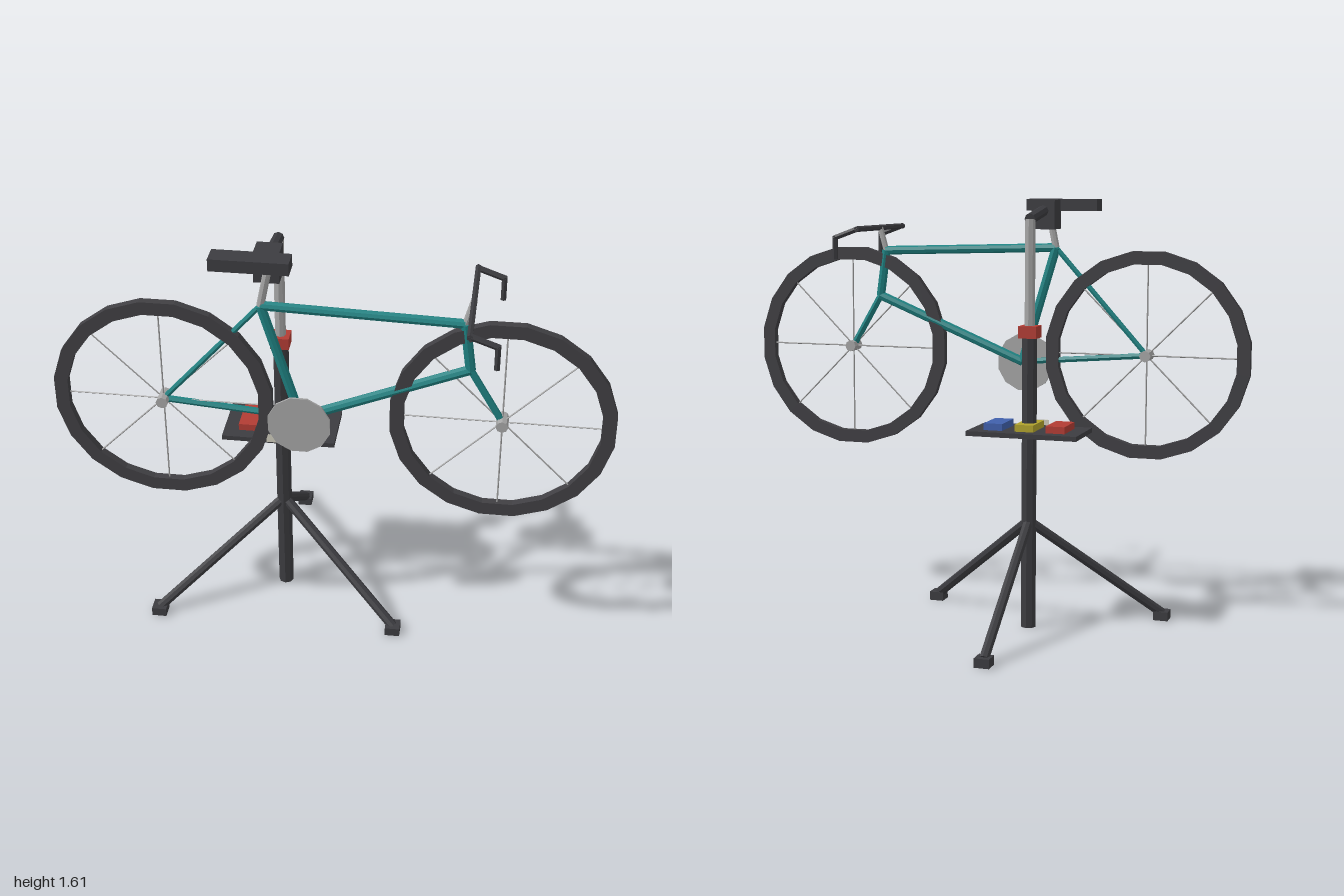
import * as THREE from 'three';

const mat = (name, color) => {
  const m = new THREE.MeshStandardMaterial({ color, flatShading: true });
  m.name = name;
  return m;
};

export function createModel() {
  const dark = mat('darkMetal', 0x3c3c40);
  const rubber = mat('rubber', 0x403f43);
  const silver = mat('silver', 0xa6a6a6);
  const teal = mat('tealPaint', 0x1f8282);
  const red = mat('red', 0xb23c34);
  const blue = mat('blue', 0x4060ac);
  const yellow = mat('yellow', 0xb0a22c);
  const pale = mat('paleLabel', 0xcfccbc);

  const model = new THREE.Group();
  model.name = 'bicycleOnRepairStand';
  const group = (name) => {
    const g = new THREE.Group();
    g.name = name;
    model.add(g);
    return g;
  };
  const add = (parent, name, geo, material, x = 0, y = 0, z = 0) => {
    const m = new THREE.Mesh(geo, material);
    m.name = name;
    m.position.set(x, y, z);
    parent.add(m);
    return m;
  };
  const box = (parent, name, material, [w, h, d], [x, y, z]) =>
    add(parent, name, new THREE.BoxGeometry(w, h, d), material, x, y, z);
  // Straight tube between two points
  const tube = (parent, name, material, from, to, r, sides = 8) => {
    const a = new THREE.Vector3(...from), b = new THREE.Vector3(...to);
    const dir = b.clone().sub(a);
    const m = add(parent, name, new THREE.CylinderGeometry(r, r, dir.length(), sides), material);
    m.position.copy(a).add(b).multiplyScalar(0.5);
    m.quaternion.setFromUnitVectors(new THREE.Vector3(0, 1, 0), dir.normalize());
    return m;
  };

  // Repair stand
  const sx = -0.225, sz = 0.015;
  const stand = group('repairStand');
  tube(stand, 'column', dark, [sx, 0, sz], [sx, 1.12, sz], 0.029);
  tube(stand, 'upperPost', silver, [sx, 1.1, sz], [sx, 1.54, sz], 0.02);
  box(stand, 'heightCollar', red, [0.07, 0.045, 0.07], [sx, 1.125, sz]);
  tube(stand, 'clampArm', dark, [sx, 1.54, sz - 0.005], [sx, 1.57, 0.2], 0.021);
  box(stand, 'clamp', dark, [0.09, 0.11, 0.09], [sx, 1.553, 0.225]);
  for (const [x, z] of [[sx - 0.46, 0.28], [sx + 0.46, 0.28], [sx, -0.515]]) {
    tube(stand, 'leg', dark, [sx, 0.41, sz], [x, 0.025, z], 0.019);
    box(stand, 'foot', dark, [0.056, 0.034, 0.058], [x, 0.017, z]);
  }

  // Tool tray
  const tray = group('toolTray');
  box(tray, 'tray', dark, [0.425, 0.018, 0.232], [sx, 0.75, sz]);
  [red, yellow, blue].forEach((m, i) =>
    box(tray, 'toolBox', m, [0.072, 0.027, 0.14], [sx + (i - 1) * 0.12, 0.7715, sz]));
  box(tray, 'trayTag', pale, [0.085, 0.032, 0.004], [sx, 0.764, sz + 0.118]);

  // Bicycle
  const bz = 0.298;
  const bike = group('bicycle');
  const P = (x, y) => [x, y, bz];
  const seat = P(-0.243, 1.425), crank = P(-0.11, 0.98), rear = P(-0.605, 1.02);
  const headTop = P(0.46, 1.405), headLow = P(0.485, 1.225), front = P(0.605, 1.02);
  tube(bike, 'topTube', teal, seat, headTop, 0.017);
  tube(bike, 'downTube', teal, headLow, crank, 0.018);
  tube(bike, 'seatTube', teal, seat, crank, 0.018);
  tube(bike, 'headTube', teal, headTop, headLow, 0.018);
  tube(bike, 'seatStay', teal, seat, rear, 0.01, 6);
  tube(bike, 'chainStay', teal, crank, rear, 0.012, 6);
  tube(bike, 'fork', teal, headLow, front, 0.013, 6);
  tube(bike, 'seatPost', silver, seat, P(-0.213, 1.57), 0.014);
  box(bike, 'saddle', dark, [0.277, 0.045, 0.076], [-0.274, 1.588, bz]);
  tube(bike, 'chainring', silver, [-0.11, 0.973, 0.335], [-0.11, 0.973, 0.343], 0.115, 12)
    .geometry.rotateY(Math.PI / 12);

  // Stem and drop handlebar
  tube(bike, 'stem', silver, headTop, P(0.485, 1.495), 0.012);
  tube(bike, 'handlebar', dark, [0.485, 1.495, bz - 0.245], [0.485, 1.495, bz + 0.245], 0.011, 6);
  for (const s of [-1, 1]) {
    const z = bz + s * 0.235;
    tube(bike, 'handlebarReach', dark, [0.48, 1.497, z], [0.582, 1.46, z], 0.011, 6);
    tube(bike, 'handlebarDrop', dark, [0.578, 1.468, z], [0.578, 1.378, z], 0.011, 6);
  }

  // Wheels: square-section tyre, hub and eight spokes
  const section = [[0.35, -0.015], [0.4, -0.015], [0.4, 0.015], [0.35, 0.015], [0.35, -0.015]]
    .map(([r, h]) => new THREE.Vector2(r, h));
  const tyreGeo = new THREE.LatheGeometry(section, 20, Math.PI / 20).rotateX(Math.PI / 2);
  for (const [name, c] of [['rearWheel', rear], ['frontWheel', front]]) {
    const wheel = group(name);
    wheel.position.set(...c);
    add(wheel, 'tyre', tyreGeo, rubber);
    tube(wheel, 'hub', silver, [0, 0, -0.036], [0, 0, 0.036], 0.022);
    for (let i = 0; i < 4; i++) {
      const a = i * Math.PI / 4, x = 0.352 * Math.cos(a), y = 0.352 * Math.sin(a);
      tube(wheel, 'spokePair', silver, [-x, -y, 0], [x, y, 0], 0.003, 4);
    }
  }
  return model;
}
